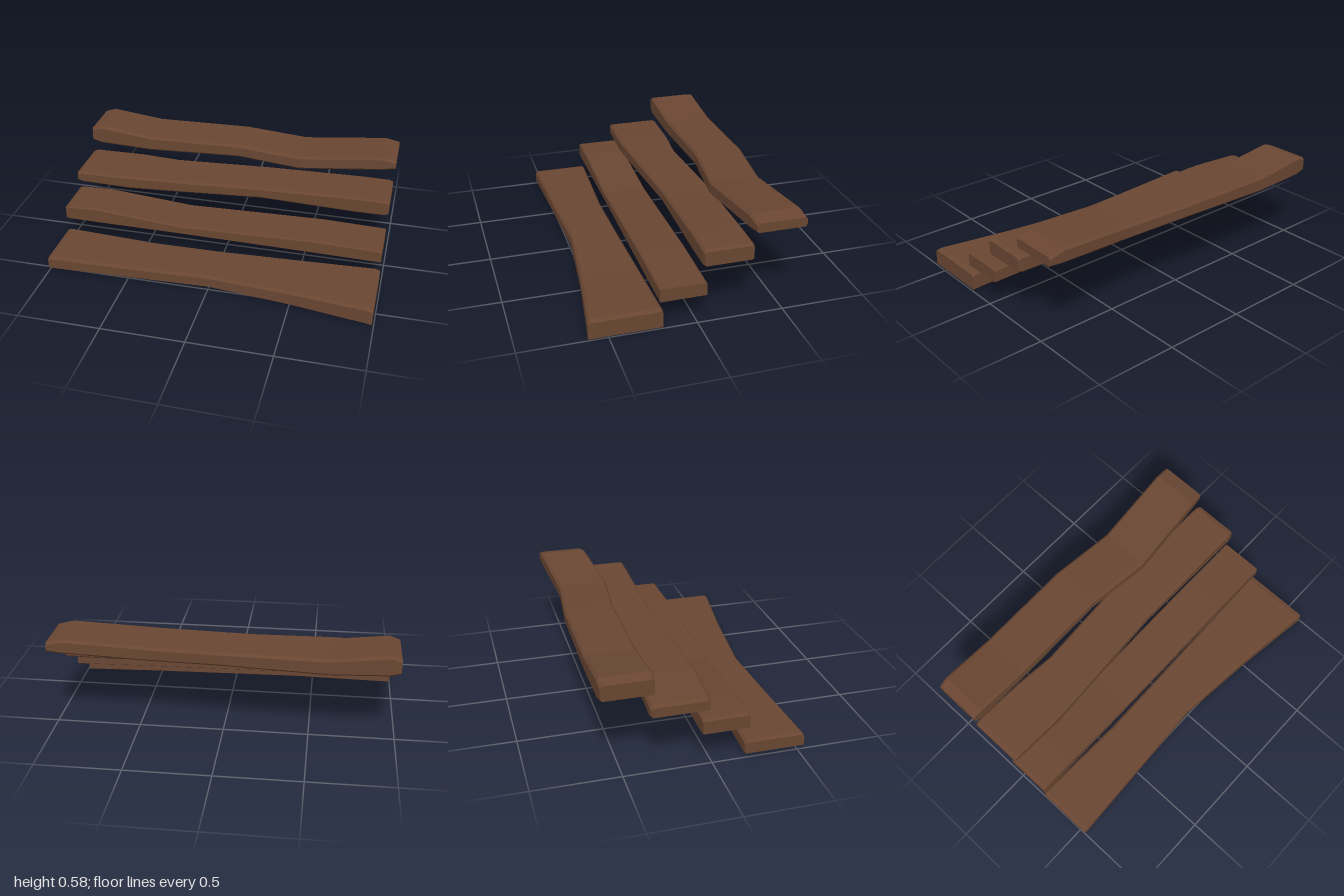
import * as THREE from 'three';

const wood = new THREE.MeshStandardMaterial({ color: 0x694632, flatShading: true });
wood.name = 'brown wood';

// Chamfered rectangle, counter-clockwise seen from +x.
function section([x, bottom, top, front, back], low, high) {
  return [
    [x, bottom, front - low], [x, bottom, back + low],
    [x, bottom + low, back], [x, top - high, back],
    [x, top, back + high], [x, top, front - high],
    [x, top - high, front], [x, bottom + low, front],
  ];
}

// Lofts a plank through stations of [x, bottom, top, front z, back z].
function plank(name, stations, low, high) {
  const rings = stations.map((s) => section(s, low, high));
  const n = 8;
  const index = [];
  for (let i = 0; i < rings.length - 1; i++) {
    for (let j = 0; j < n; j++) {
      const a = i * n + j;
      const b = i * n + (j + 1) % n;
      index.push(a, b, b + n, a, b + n, a + n);
    }
  }
  // End caps
  const last = (rings.length - 1) * n;
  for (let j = 1; j < n - 1; j++) {
    index.push(0, j + 1, j, last, last + j, last + j + 1);
  }
  const shared = new THREE.BufferGeometry();
  shared.setAttribute('position', new THREE.Float32BufferAttribute(rings.flat(2), 3));
  shared.setIndex(index);
  const geometry = shared.toNonIndexed();
  geometry.computeVertexNormals();
  const mesh = new THREE.Mesh(geometry, wood);
  mesh.name = name;
  return mesh;
}

export function createModel() {
  const group = new THREE.Group();
  group.name = 'plankSteps';

  // Lowest plank, flared towards its left end
  group.add(plank('firstPlank', [
    [-1, 0.022, 0.09, 0.54, 0.195],
    [-0.98, 0.02, 0.098, 0.54, 0.19],
    [-0.4, 0.016, 0.09, 0.513, 0.212],
    [0, 0.014, 0.088, 0.495, 0.205],
    [0.5, 0.01, 0.097, 0.545, 0.197],
    [0.96, 0.003, 0.108, 0.608, 0.19],
    [0.99, 0, 0.1, 0.612, 0.192],
  ], 0.003, 0.014));

  // Straight-sided plank with a dipped top
  group.add(plank('secondPlank', [
    [-1, 0.187, 0.265, 0.214, -0.054],
    [-0.98, 0.183, 0.272, 0.215, -0.055],
    [-0.78, 0.181, 0.277, 0.215, -0.055],
    [-0.25, 0.179, 0.233, 0.215, -0.055],
    [0.6, 0.169, 0.252, 0.215, -0.055],
    [0.99, 0.162, 0.241, 0.214, -0.055],
  ], 0.003, 0.009));

  // Gently winding plank
  group.add(plank('thirdPlank', [
    [-1, 0.333, 0.39, -0.015, -0.34],
    [-0.97, 0.327, 0.398, -0.01, -0.345],
    [-0.65, 0.328, 0.41, 0.003, -0.33],
    [-0.4, 0.334, 0.413, -0.008, -0.305],
    [0.2, 0.35, 0.42, -0.04, -0.335],
    [0.8, 0.336, 0.439, -0.032, -0.322],
    [0.97, 0.338, 0.438, -0.03, -0.32],
    [0.995, 0.345, 0.43, -0.034, -0.315],
  ], 0.01, 0.012));

  // Highest plank, wavy with raised ends
  group.add(plank('fourthPlank', [
    [-1, 0.472, 0.562, -0.32, -0.61],
    [-0.94, 0.459, 0.582, -0.315, -0.615],
    [-0.6, 0.447, 0.543, -0.315, -0.615],
    [0, 0.472, 0.554, -0.315, -0.615],
    [0.4, 0.459, 0.543, -0.27, -0.575],
    [0.91, 0.494, 0.582, -0.31, -0.609],
    [1, 0.506, 0.562, -0.32, -0.613],
  ], 0.012, 0.014));

  return group;
}
